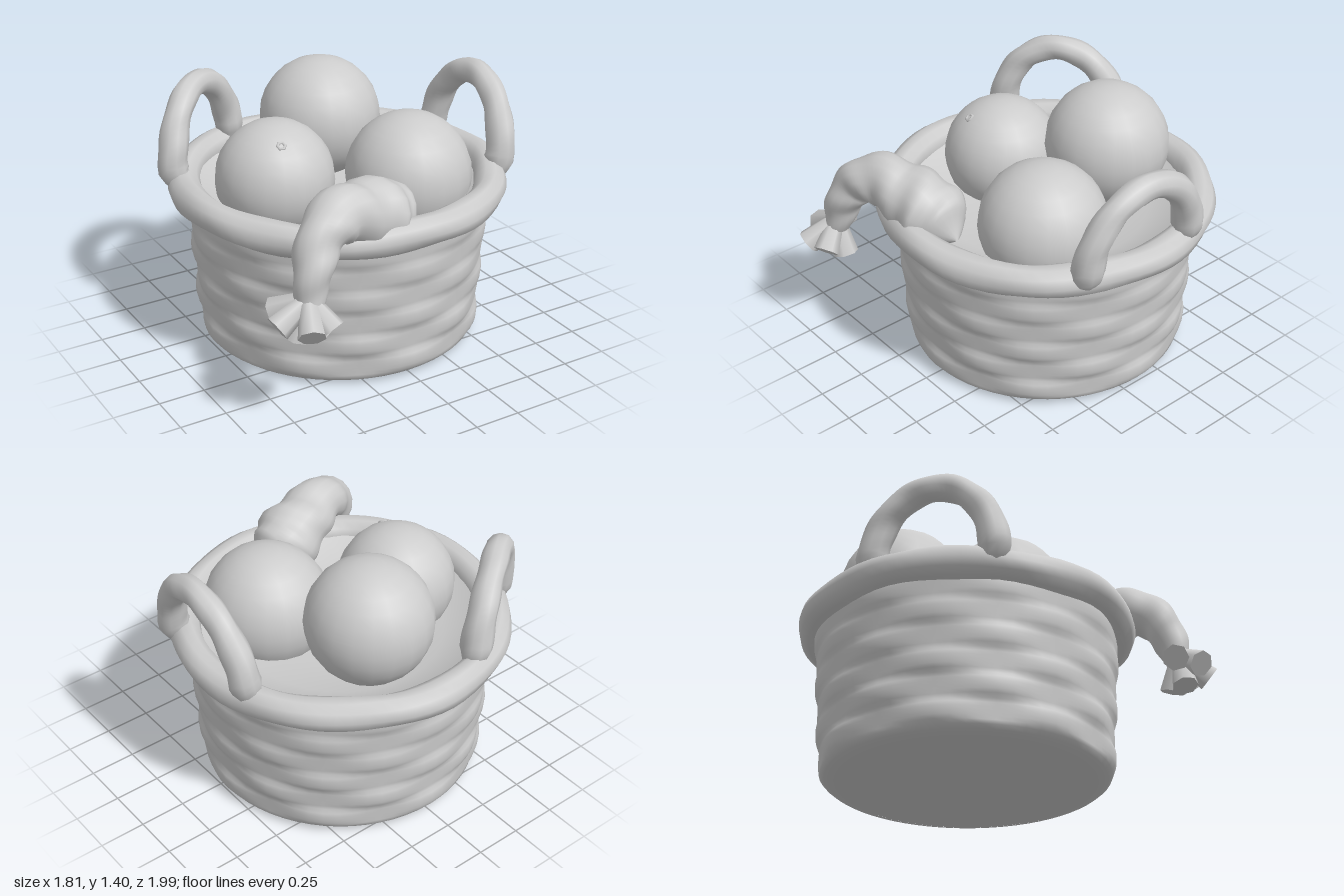
import * as THREE from 'three';
import { mergeVertices } from 'three/addons/utils/BufferGeometryUtils.js';

const CZ = -0.09; // basket axis
const V = (x, y, z) => new THREE.Vector3(x, y, z);

// Weld the seams and rebuild smooth normals.
function smooth(geo) {
  geo.deleteAttribute('uv');
  geo.deleteAttribute('normal');
  const g = mergeVertices(geo, 1e-4);
  g.computeVertexNormals();
  return g;
}

// Interpolate a list of evenly spaced values at t in 0..1.
function sample(list, t) {
  const f = t * (list.length - 1);
  const i = Math.min(Math.floor(f), list.length - 2);
  return THREE.MathUtils.lerp(list[i], list[i + 1], f - i);
}

// Rope-like sweep: varying radius, spiral ridges.
function rope(points, radii, { n = 32, sides = 10, ridge = 0, strands = 2, twist = 0, closed = false } = {}) {
  const curve = new THREE.CatmullRomCurve3(points, closed, 'centripetal');
  const geo = new THREE.TubeGeometry(curve, n, 1, sides, closed);
  const pos = geo.attributes.position;
  const p = V(0, 0, 0);
  for (let i = 0; i <= n; i++) {
    const t = i / n;
    const c = curve.getPointAt(closed ? t % 1 : t);
    for (let j = 0; j <= sides; j++) {
      const k = i * (sides + 1) + j;
      const a = (j % sides) / sides * Math.PI * 2;
      const r = sample(radii, t) * (1 + ridge * Math.cos(strands * a + twist * t * Math.PI * 2));
      p.fromBufferAttribute(pos, k).sub(c).multiplyScalar(r).add(c);
      pos.setXYZ(k, p.x, p.y, p.z);
    }
  }
  return smooth(geo);
}

// Woven wall: over-and-under bulges that alternate from row to row.
function wovenWall() {
  const rows = 6, steps = 6, y0 = 0.03, y1 = 0.81;
  const profile = [new THREE.Vector2(0.68, 0), new THREE.Vector2(0.73, 0.012)];
  for (let i = 0; i <= rows * steps; i++) {
    const t = i / (rows * steps);
    profile.push(new THREE.Vector2(0.76 + 0.055 * t, y0 + (y1 - y0) * t));
  }
  const geo = new THREE.LatheGeometry(profile, 64);
  const pos = geo.attributes.position;
  for (let i = 0; i < pos.count; i++) {
    const x = pos.getX(i), y = pos.getY(i), z = pos.getZ(i);
    if (y < y0 - 0.001) continue;
    const f = (y - y0) / (y1 - y0) * rows;
    const row = Math.min(Math.floor(f + 1e-4), rows - 1);
    const bulge = Math.sqrt(Math.max(0, Math.sin(Math.PI * (f - row))));
    const fade = 1 - 0.5 * f / rows; // weave softens toward the rim
    const wave = Math.cos(8 * Math.atan2(z, x) + row * Math.PI);
    const s = 0.99 + bulge * fade * (0.014 + 0.016 * wave);
    pos.setXYZ(i, x * s, y, z * s);
  }
  return smooth(geo);
}

export function createModel() {
  const model = new THREE.Group();
  const mat = new THREE.MeshStandardMaterial({ color: 0xcccccc });
  mat.name = 'pale clay grey';
  const add = (name, geo, x = 0, y = 0, z = 0) => {
    const mesh = new THREE.Mesh(geo, mat);
    mesh.name = name;
    mesh.position.set(x, y, z);
    model.add(mesh);
    return mesh;
  };

  // Basket body
  add('wovenWall', wovenWall(), 0, 0, CZ);
  add('basketBottom', new THREE.CircleGeometry(0.682, 64).rotateX(Math.PI / 2), 0, 0.001, CZ);

  // Cloth-like lining, a shallow dish under the fruit, listed from rim to middle
  const lining = [[0.8, 0.9], [0.72, 0.84], [0.55, 0.77], [0.3, 0.735], [0, 0.725]];
  add('basketLining', smooth(new THREE.LatheGeometry(lining.map(([r, y]) => new THREE.Vector2(r, y)), 32)), 0, 0, CZ);

  // Twisted rim
  const ring = Array.from({ length: 24 }, (_, i) => {
    const a = i / 24 * Math.PI * 2;
    return V(0.82 * Math.cos(a), 0.85 + 0.006 * Math.sin(5 * a), CZ + 0.82 * Math.sin(a));
  });
  add('basketRim', rope(ring, [0.085, 0.085], { n: 72, ridge: 0.05, twist: 9, closed: true }));

  // Two arched handles, given by both feet and the apex; each end tucks into the rim
  const handle = (name, a, b, top) => {
    const mid = a.clone().add(b).multiplyScalar(0.5);
    const tuck = (foot) => {
      const d = V(foot.x, 0, foot.z - CZ).setLength(0.79);
      return V(d.x, 0.835, d.z + CZ);
    };
    const pts = [tuck(a)];
    for (let i = 0; i <= 8; i++) {
      const t = i / 8 * Math.PI;
      const p = mid.clone().addScaledVector(a.clone().sub(b), 0.5 * Math.cos(t));
      pts.push(p.addScaledVector(top.clone().sub(mid), Math.sin(t)));
    }
    pts.push(tuck(b));
    add(name, rope(pts, [0.05, 0.083, 0.08, 0.075, 0.071, 0.07, 0.07, 0.071, 0.075, 0.08, 0.083, 0.05],
      { n: 44, ridge: 0.04, twist: 6 }));
  };
  handle('leftHandle', V(0.77, 0.91, 0.31), V(0.79, 0.91, -0.35), V(0.835, 1.31, -0.01));
  handle('backRightHandle', V(-0.79, 0.91, -0.45), V(-0.265, 0.91, -0.84), V(-0.55, 1.3, -0.66));

  // Round fruit
  const fruit = [
    ['backFruit', 0.335, 0.095, 1.065, -0.44],
    ['frontFruit', 0.34, 0.285, 0.9, 0.17],
    ['sideFruit', 0.318, -0.375, 0.92, -0.1],
  ];
  for (const [name, r, x, y, z] of fruit) add(name, new THREE.SphereGeometry(r, 20, 14), x, y, z);

  // Small stem scar on the side fruit
  const scar = add('fruitStem', new THREE.TorusGeometry(0.02, 0.009, 6, 6), -0.43, 1.172, 0.08);
  scar.lookAt(-0.485, 1.424, 0.26);

  // Braided bundle hanging over the rim
  add('braidedBundle', rope(
    [V(0.065, 0.85, 0.56), V(0, 0.87, 0.56), V(-0.14, 0.92, 0.57), V(-0.3, 0.98, 0.61), V(-0.45, 1.015, 0.66),
      V(-0.58, 0.95, 0.72), V(-0.645, 0.83, 0.77), V(-0.685, 0.67, 0.8)],
    [0.01, 0.15, 0.19, 0.18, 0.16, 0.145, 0.13, 0.115, 0.105, 0.09, 0.07],
    { n: 56, sides: 16, ridge: 0.06, twist: 5 }));

  // Flared tassel of loose ends
  const knot = V(-0.69, 0.7, 0.8);
  const tips = [[-0.81, 0.61, 0.67], [-0.86, 0.59, 0.8], [-0.755, 0.58, 0.95], [-0.63, 0.57, 0.92], [-0.63, 0.51, 0.8], [-0.75, 0.5, 0.78]];
  for (const tip of tips) {
    const end = V(...tip);
    const dir = end.clone().sub(knot);
    const mesh = add('tasselEnd', new THREE.CylinderGeometry(0.07, 0.042, dir.length(), 7));
    mesh.position.copy(knot).addScaledVector(dir, 0.5);
    mesh.quaternion.setFromUnitVectors(V(0, 1, 0), dir.normalize());
  }
  return model;
}
